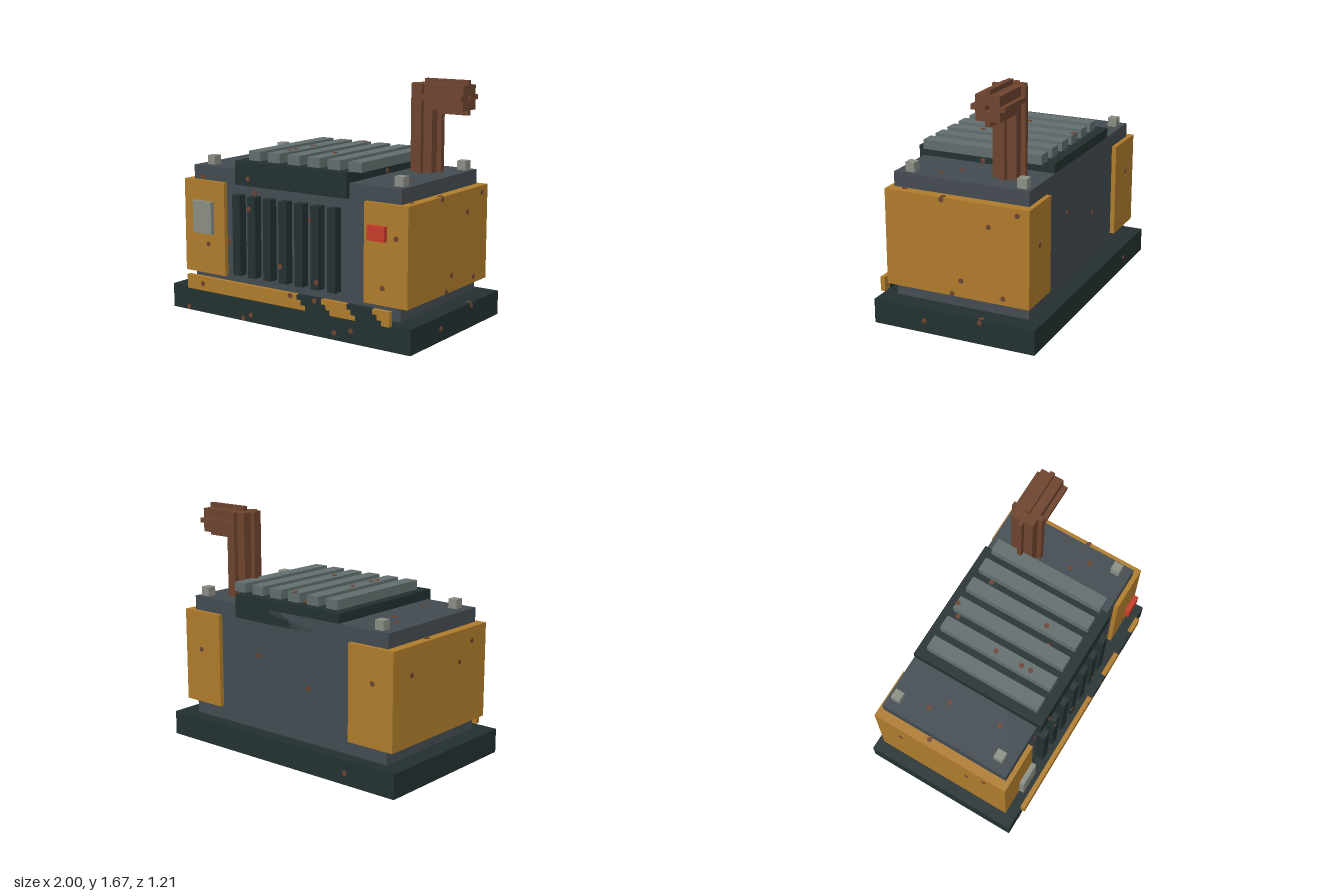
import * as THREE from 'three';

const mat = (name, color) => {
  const m = new THREE.MeshStandardMaterial({ color });
  m.name = name;
  return m;
};

export function createModel() {
  const dark = mat('dark iron', 0x233030);
  const steel = mat('body steel', 0x434b51);
  const ochre = mat('ochre paint', 0xae7b2b);
  const slatGrey = mat('slat grey', 0x626d6d);
  const pale = mat('pale metal', 0x898d83);
  const red = mat('red switch', 0xc63b27);
  const rust = mat('rust', 0x6d432e);

  const root = new THREE.Group();
  root.name = 'generator';

  const add = (name, geometry, material) => {
    const m = new THREE.Mesh(geometry, material);
    m.name = name;
    root.add(m);
    return m;
  };
  // Box from its lower and upper limits on each axis
  const box = (name, material, x0, x1, y0, y1, z0, z1) => {
    const m = add(name, new THREE.BoxGeometry(x1 - x0, y1 - y0, z1 - z0), material);
    m.position.set((x0 + x1) / 2, (y0 + y1) / 2, (z0 + z1) / 2);
    return m;
  };

  // Base, housing and end covers
  box('base', dark, -1, 1, 0, 0.17, -0.6, 0.567);
  box('housing', steel, -0.867, 0.863, 0.17, 1.035, -0.5, 0.467);
  box('rightCover', ochre, -0.933, -0.57, 0.27, 0.935, -0.533, 0.5);
  box('leftCover', ochre, 0.6, 0.933, 0.27, 0.935, -0.533, 0.5);

  // Roof cap with cooling slats
  box('roofCap', dark, -0.467, 0.465, 0.935, 1.102, -0.5, 0.5);
  for (let i = 0; i < 6; i++) {
    const x = -0.4 + i * 0.1665;
    box('roofSlat', slatGrey, x, x + 0.1, 1.102, 1.168, -0.433, 0.43);
  }

  // Front vents
  for (let i = 0; i < 7; i++) {
    const x = -0.468 + i * 0.1335;
    box('vent', dark, x, x + 0.065, 0.302, 0.867, 0.46, 0.534);
  }

  // Corner bolts
  for (const x of [-0.768, 0.798])
    for (const z of [-0.434, 0.366])
      box('bolt', pale, x - 0.033, x + 0.033, 1.035, 1.1, z - 0.033, z + 0.033);

  // Control plate and switch
  box('controlPlate', pale, -0.802, -0.636, 0.57, 0.8, 0.534, 0.567);
  box('switch', red, 0.664, 0.798, 0.702, 0.8, 0.534, 0.567);

  // Hazard strip: three rows, each stepped sideways for the slanted dark bands
  const cell = 0.0333;
  for (let row = 0; row < 3; row++) {
    const y0 = 0.17 + row * cell;
    const shift = (2 - row) * cell;
    const cuts = [-0.835, 0.134 + shift, 0.334 + shift, 0.534 + shift, 0.734 + shift, 0.863];
    for (let i = 0; i < 5; i++)
      box(i % 2 ? 'hazardBand' : 'hazardStrip', i % 2 ? dark : ochre,
        cuts[i], cuts[i + 1], y0, y0 + cell, 0.567, 0.6);
  }

  // Exhaust pipe section: a square with one ridge on each side
  const pipeGeometry = (length, hollow) => {
    const a = cell / 2, b = cell * 2.5, c = cell * 3.5;
    const s = new THREE.Shape();
    const side = [[b, -b], [b, -a], [c, -a], [c, a], [b, a]];
    const points = [];
    for (let k = 0; k < 4; k++)
      for (const [x, y] of side)
        points.push(new THREE.Vector2(x, y).rotateAround(new THREE.Vector2(), k * Math.PI / 2));
    s.setFromPoints(points);
    if (hollow) s.holes.push(new THREE.Path().setFromPoints(
      [[-a, -a], [-a, a], [a, a], [a, -a]].map(([x, y]) => new THREE.Vector2(x, y))));
    return new THREE.ExtrudeGeometry(s, { depth: length, bevelEnabled: false });
  };
  const riser = add('exhaustRiser', pipeGeometry(0.6, false), rust);
  riser.rotation.x = -Math.PI / 2;
  riser.position.set(0.616, 1.035, -0.25);
  const outlet = add('exhaustOutlet', pipeGeometry(0.333, true), rust);
  outlet.rotation.y = Math.PI / 2;
  outlet.position.set(0.6, 1.552, -0.25);

  // Rust spots: thin discs on the faces, as [x, y, z]
  const disc = new THREE.CylinderGeometry(0.018, 0.018, 0.008, 8);
  const spots = (axis, list) => {
    for (const p of list) {
      const m = add('rustSpot', disc, rust);
      m.position.set(...p);
      if (axis === 'x') m.rotation.z = Math.PI / 2;
      if (axis === 'z') m.rotation.x = Math.PI / 2;
    }
  };
  // Front and back faces
  spots('z', [
    [-0.855, 0.02, 0.567], [-0.355, 0.02, 0.567], [-0.287, 0.05, 0.567],
    [0.415, 0.05, 0.567], [0.547, 0.085, 0.567], [-0.69, 0.22, 0.6],
    [0.08, 0.255, 0.6], [0.28, 0.25, 0.6], [-0.72, 0.485, 0.5],
    [-0.48, 0.83, 0.467], [-0.32, 0.885, 0.467], [-0.32, 0.785, 0.534],
    [0.15, 0.755, 0.467], [-0.09, 0.385, 0.467], [-0.055, 0.42, 0.534],
    [0.247, 0.355, 0.534], [-0.355, 0.985, 0.5], [-0.79, 0.955, 0.467],
    [0.845, 0.72, 0.5], [0.745, 0.385, 0.5], [-0.55, 0.52, 0.467],
    [0.78, 0.66, -0.533], [-0.77, 0.7, -0.533], [-0.6, 0.08, -0.6],
    [0.25, 0.7, -0.5], [-0.2, 0.55, -0.5],
  ]);
  // End faces
  spots('x', [
    [0.933, 0.92, 0.085], [0.933, 0.785, -0.25], [0.933, 0.89, -0.45],
    [0.933, 0.385, -0.05], [0.933, 0.315, -0.35], [0.933, 0.285, 0.015],
    [1, 0.085, 0.19], [1, 0.15, -0.215], [0.465, 1.055, 0.02],
    [-0.933, 0.745, -0.34], [-0.933, 0.84, 0.33], [-0.933, 0.72, 0.19],
  ]);
  // Upward faces
  spots('y', [
    [-0.085, 1.102, -0.385], [-0.02, 1.168, -0.42], [0.247, 1.102, -0.32],
    [-0.185, 1.168, -0.02], [-0.185, 1.168, 0.18], [-0.185, 1.168, 0.25],
    [0.047, 1.102, 0.25], [0.147, 1.168, 0.18], [-0.72, 1.035, -0.22],
    [-0.62, 1.035, -0.12], [-0.585, 1.035, 0.25], [0.65, 1.035, 0.08],
    [0.75, 1.035, 0.18], [-0.885, 0.935, -0.12], [0.915, 0.935, 0.08],
    [0.88, 0.935, 0.38], [0.98, 0.17, -0.22],
  ]);

  return root;
}
